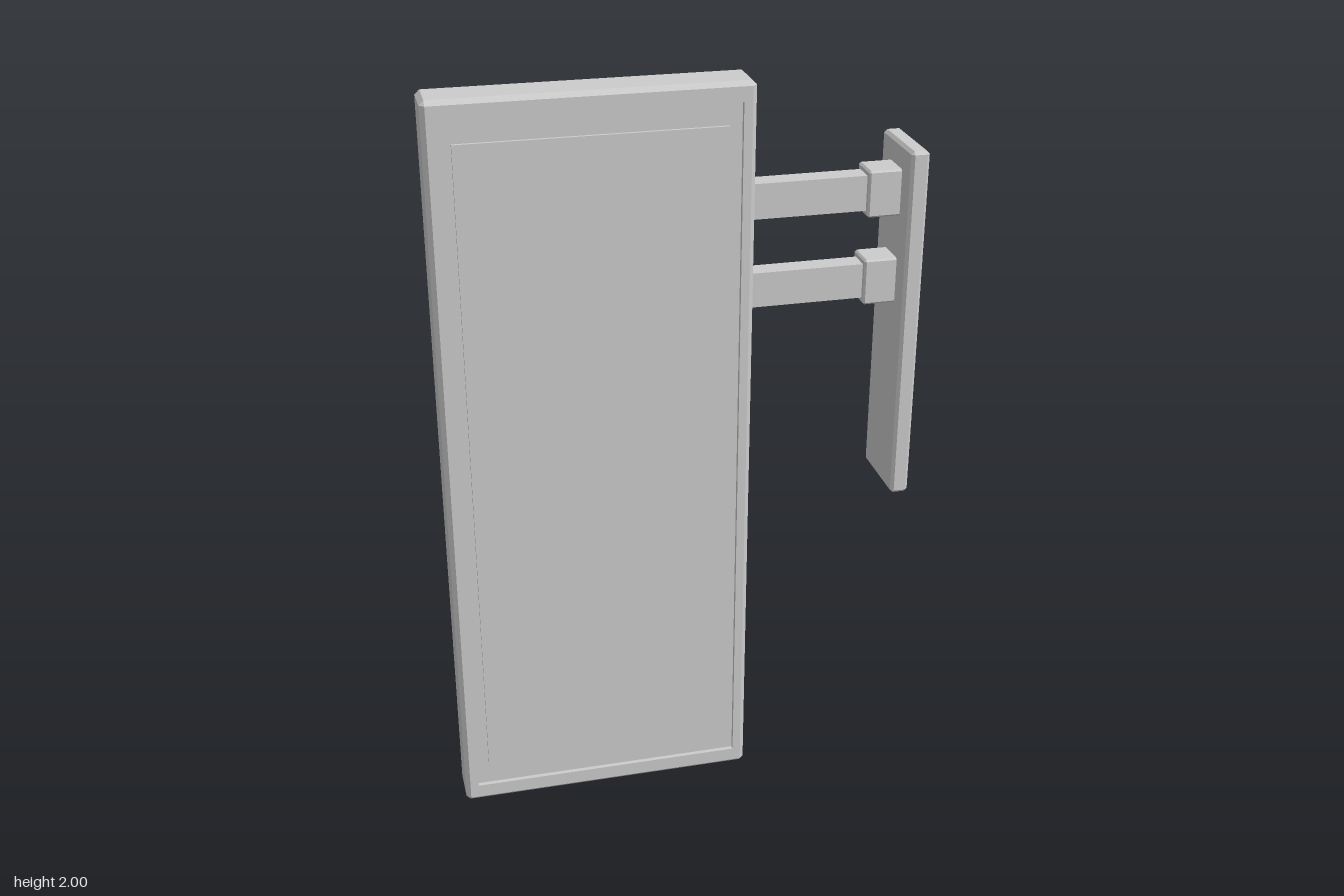
import * as THREE from 'three';
import { ConvexGeometry } from 'three/addons/geometries/ConvexGeometry.js';

const material = new THREE.MeshStandardMaterial({ color: 0xcccccc, flatShading: true });

// Box with all twelve edges chamfered by c
function chamferBox(w, h, d, c) {
  const half = [w / 2, h / 2, d / 2];
  const points = [];
  for (const sx of [-1, 1]) for (const sy of [-1, 1]) for (const sz of [-1, 1]) {
    for (let full = 0; full < 3; full++) {
      const p = [sx, sy, sz].map((s, k) => s * (half[k] - (k === full ? 0 : c)));
      points.push(new THREE.Vector3(...p));
    }
  }
  return new ConvexGeometry(points);
}

// Loop of a rectangle with corners cut by c, counterclockwise from the front
function rectLoop(hw, hh, z, c) {
  return [
    [hw, -hh + c], [hw, hh - c], [hw - c, hh], [-hw + c, hh],
    [-hw, hh - c], [-hw, -hh + c], [-hw + c, -hh], [hw - c, -hh],
  ].map(([x, y]) => new THREE.Vector3(x, y, z));
}

// Surface joining successive loops, with flat faces
function loft(loops) {
  const verts = [];
  const tri = new THREE.Triangle();
  const add = (a, b, c) => {
    if (tri.set(a, b, c).getArea() > 1e-9) for (const p of [a, b, c]) verts.push(p.x, p.y, p.z);
  };
  for (let k = 0; k + 1 < loops.length; k++) {
    const a = loops[k], b = loops[k + 1], n = a.length;
    for (let i = 0; i < n; i++) {
      const j = (i + 1) % n;
      add(a[i], b[i], b[j]);
      add(a[i], b[j], a[j]);
    }
  }
  const geometry = new THREE.BufferGeometry();
  geometry.setAttribute('position', new THREE.Float32BufferAttribute(verts, 3));
  geometry.computeVertexNormals();
  return geometry;
}

// Board with a chamfered rim and a grooved panel on both faces
function signBoard(w, h) {
  const hw = w / 2, hh = h / 2;
  // inset in x, inset in y, z, corner cut
  const front = [
    [hw, hh, 0.056, 0],
    [0.068, 0.108, 0.056, 0],
    [0.068, 0.108, 0.048, 0],
    [0.034, 0.05, 0.048, 0],
    [0.034, 0.05, 0.06, 0],
    [0.012, 0.012, 0.06, 0],
    [0, 0, 0.048, 0.012],
  ];
  const back = front.map(([ix, iy, z, c]) => [ix, iy, -z, c]).reverse();
  return loft([...front, ...back].map(([ix, iy, z, c]) => rectLoop(hw - ix, hh - iy, z, c)));
}

export function createModel() {
  const group = new THREE.Group();
  const add = (name, geometry, x, y) => {
    const mesh = new THREE.Mesh(geometry, material);
    mesh.name = name;
    mesh.position.set(x, y, 0);
    group.add(mesh);
  };

  add('signBoard', signBoard(0.805, 2), -0.2155, 1);

  // Wall plate
  add('wallPlate', chamferBox(0.048, 0.95, 0.214, 0.008), 0.594, 1.335);

  // Two bracket arms with their sockets
  [['upper', 1.687], ['lower', 1.452]].forEach(([level, y]) => {
    add(level + 'Arm', new THREE.BoxGeometry(0.34, 0.092, 0.057), 0.34, y);
    add(level + 'Socket', chamferBox(0.09, 0.122, 0.088, 0.005), 0.53, y);
  });
  return group;
}
